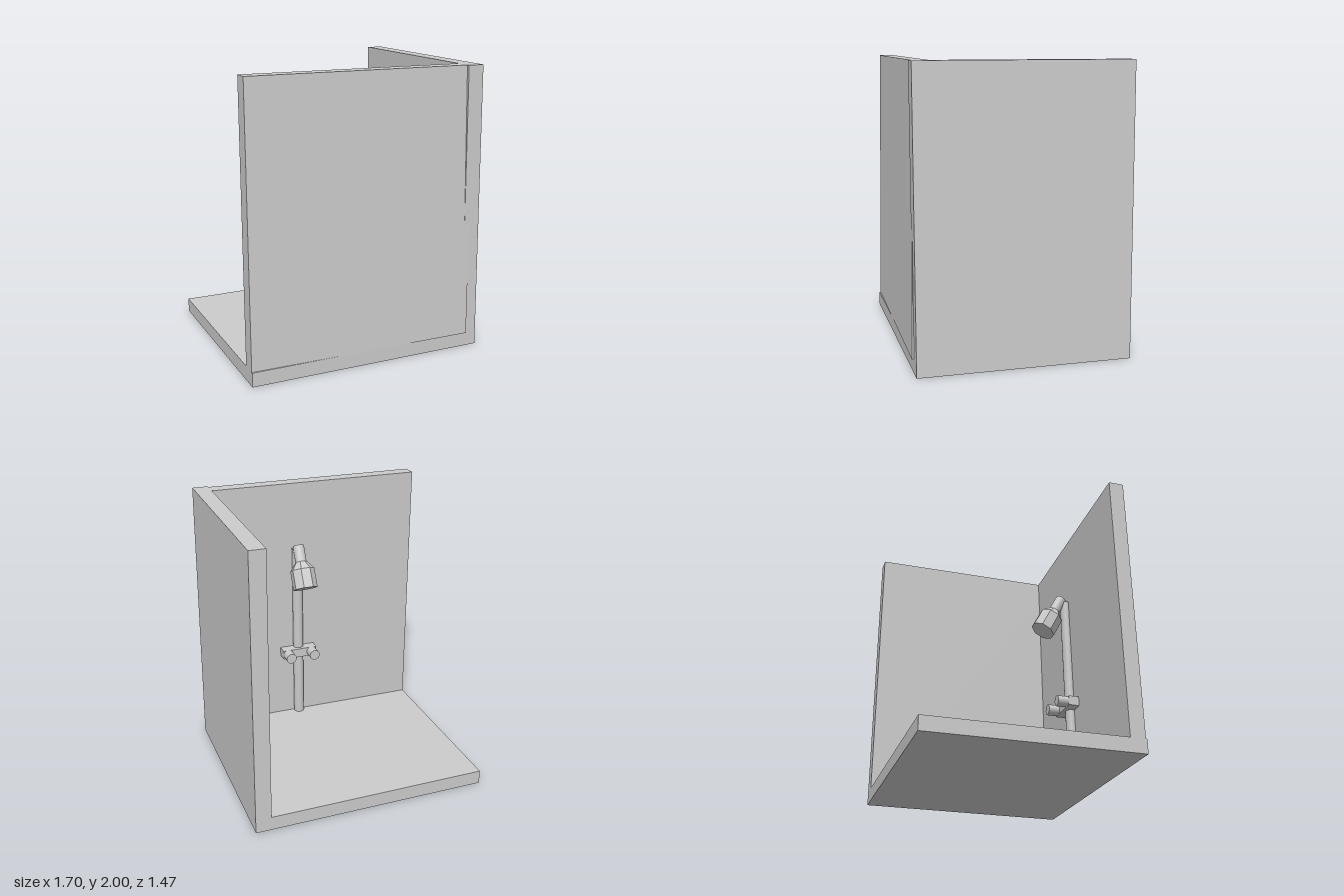
import * as THREE from 'three';

export function createModel() {
  const group = new THREE.Group();
  const smooth = new THREE.MeshStandardMaterial({ color: 0xcccccc });
  const flat = new THREE.MeshStandardMaterial({ color: 0xcccccc, flatShading: true });

  function add(name, geometry, material = smooth) {
    const mesh = new THREE.Mesh(geometry, material);
    mesh.name = name;
    group.add(mesh);
    return mesh;
  }

  // Box given by its limits, with an optional rule that leans it
  function slab(name, [x0, x1], [y0, y1], [z0, z1], lean) {
    const g = new THREE.BoxGeometry(x1 - x0, y1 - y0, z1 - z0);
    g.translate((x0 + x1) / 2, (y0 + y1) / 2, (z0 + z1) / 2);
    if (lean) {
      const p = g.attributes.position;
      const v = new THREE.Vector3();
      for (let i = 0; i < p.count; i++) {
        lean(v.fromBufferAttribute(p, i));
        p.setXYZ(i, v.x, v.y, v.z);
      }
      g.computeVertexNormals();
    }
    return add(name, g, flat);
  }

  // Round bar between two points, r0 at the start and r1 at the end
  function rod(name, a, b, r0, r1 = r0, sides = 16, material = smooth) {
    const from = new THREE.Vector3(...a);
    const dir = new THREE.Vector3(...b).sub(from);
    const g = new THREE.CylinderGeometry(r1, r0, dir.length(), sides);
    if (sides === 8) g.rotateY(Math.PI / 8); // flats face sideways and forward
    const mesh = add(name, g, material);
    mesh.position.copy(from).addScaledVector(dir, 0.5);
    mesh.quaternion.setFromUnitVectors(new THREE.Vector3(0, 1, 0), dir.normalize());
    return mesh;
  }

  // Floor and the two slightly leaning walls
  slab('floor', [-0.85, 0.735], [0, 0.1], [-0.74, 0.72]);
  slab('sideWall', [0.735, 0.847], [0, 2], [-0.74, 0.72], (v) => {
    v.x -= 0.0132 * v.y;
  });
  slab('frontWall', [-0.85, 0.76], [0.1, 2], [0.604, 0.71], (v) => {
    v.z += 0.0155 * (v.x + 0.85) - 0.0184 * (v.y - 0.1);
  });

  // Riser pipe
  const cx = 0.085;
  rod('riserPipe', [cx, 0.1, 0.6], [cx, 1.5, 0.578], 0.039);

  // Shower head: octagonal body, tapered shoulder and arm on one tilted axis
  const along = (d) => [cx, 1.24 + 0.88 * d, 0.39 + 0.47 * d];
  rod('showerHead', along(0), along(0.145), 0.092, 0.092, 8, flat);
  rod('showerHeadShoulder', along(0.145), along(0.205), 0.092, 0.044, 8, flat);
  rod('showerArm', along(0.19), along(0.33), 0.042);

  // Mixer valve with two knobs
  slab('mixerBar', [-0.045, 0.225], [0.61, 0.68], [0.53, 0.62]);
  for (const x of [-0.005, 0.185]) {
    rod('mixerKnob', [x, 0.645, 0.535], [x, 0.645, 0.45], 0.04);
  }

  return group;
}
